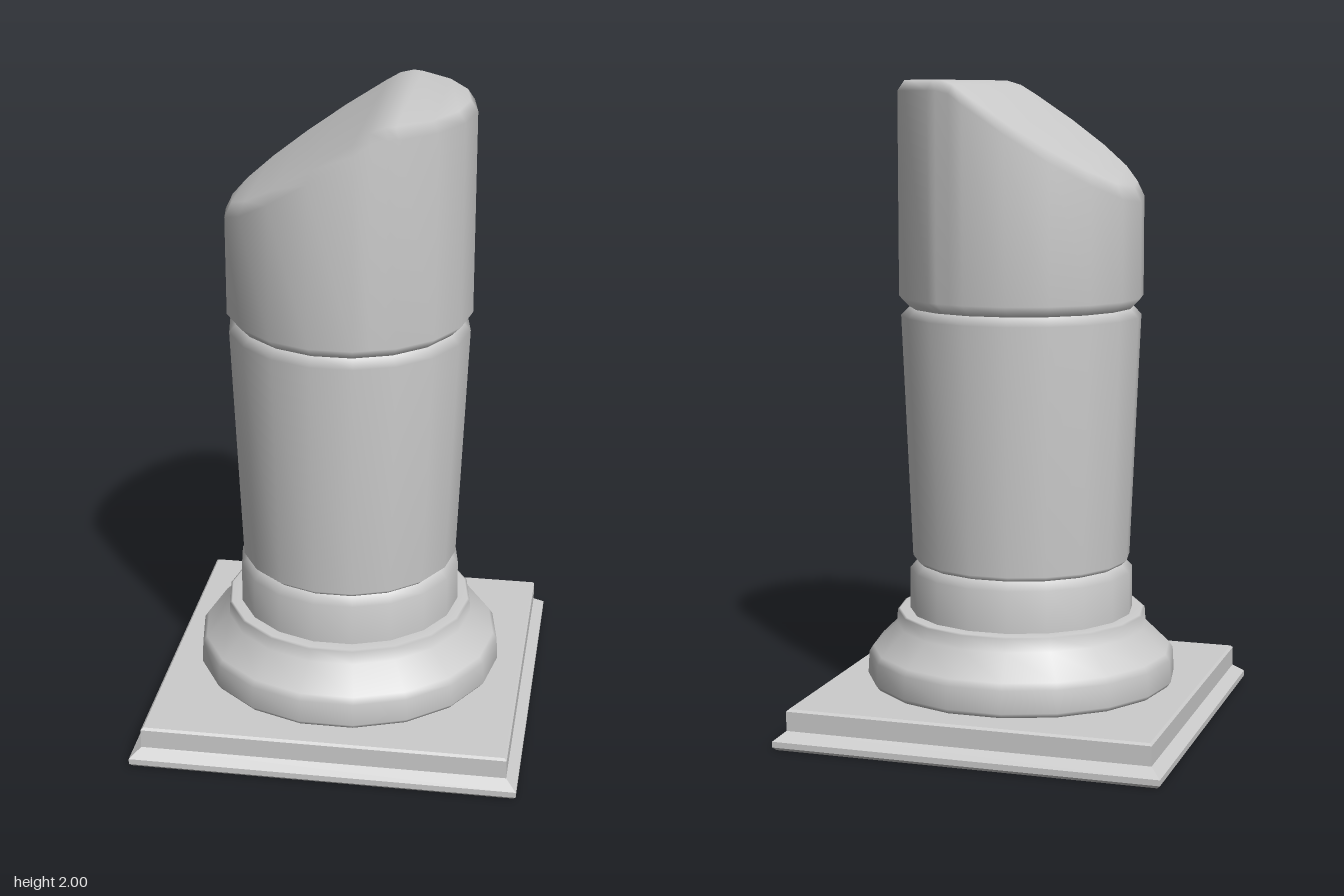
import * as THREE from 'three';

const SIDES = 18;

export function createModel() {
  const model = new THREE.Group();
  const stone = new THREE.MeshStandardMaterial({ color: 0xcccccc });
  stone.name = 'pale stone';

  const add = (name, geometry) => {
    const mesh = new THREE.Mesh(geometry, stone);
    mesh.name = name;
    model.add(mesh);
  };
  const lathe = (profile, sides, start) => new THREE.LatheGeometry(
    profile.map(([r, y]) => new THREE.Vector2(r, y)), sides, start);

  // Square plinth: a four-sided lathe with flat faces
  const k = Math.SQRT2;
  const plinth = lathe([
    [0, 0], [0.59 * k, 0], [0.6 * k, 0.01], [0.6 * k, 0.028], [0.567 * k, 0.055],
    [0.567 * k, 0.115], [0.56 * k, 0.122], [0, 0.122],
  ], 4, Math.PI / 4).toNonIndexed();
  plinth.computeVertexNormals();
  add('plinth', plinth);

  // Round moulded foot
  add('foot', lathe([
    [0.3, 0.121], [0.475, 0.125], [0.487, 0.14], [0.483, 0.21], [0.47, 0.23],
    [0.395, 0.303], [0.392, 0.345], [0.385, 0.349], [0.352, 0.35],
  ], SIDES, Math.PI / 2));

  // Neck ring above the foot
  add('neck', lathe([
    [0.352, 0.348], [0.351, 0.48], [0.325, 0.505],
  ], SIDES, Math.PI / 2));

  // Tapered shaft between two grooves
  add('shaft', lathe([
    [0.325, 0.505], [0.342, 0.52], [0.374, 1.28], [0.348, 1.307],
  ], SIDES, Math.PI / 2));

  add('brokenDrum', brokenDrum());
  return model;
}

// Upper drum with a sloping break: stacked rings closed by strips across z
function brokenDrum() {
  const corners = [];
  for (let i = 0; i <= SIDES / 2; i++) {
    const a = Math.PI - (i * 2 * Math.PI) / SIDES;
    corners.push([Math.cos(a), Math.sin(a)]);
  }
  // extra columns where the slope meets the level top
  const half = [...corners];
  for (const x of [0.3, 0.42]) {
    const j = corners.findIndex((c) => c[0] > x);
    const [x0, z0] = corners[j - 1], [x1, z1] = corners[j];
    half.push([x, z0 + ((z1 - z0) * (x - x0)) / (x1 - x0)]);
  }
  half.sort((p, q) => p[0] - q[0]);
  const n = half.length;
  const loop = [...half, ...half.slice(1, -1).reverse().map(([x, z]) => [x, -z])];
  const N = loop.length;

  const breakHeight = (x) => Math.min(2, 1.915 + 0.66 * x);
  const rings = [
    [0.348, () => 1.307],
    [0.38, () => 1.34],
    [0.38, (x) => breakHeight(x) - 0.032],
    [0.358, breakHeight],
  ];
  const positions = [], index = [];
  for (const [r, height] of rings) {
    for (const [x, z] of loop) positions.push(x * r, height(x * r), z * r);
  }
  const quad = (a, b, c, d) => index.push(a, b, d, b, c, d);
  for (let j = 0; j < rings.length - 1; j++) {
    for (let i = 0; i < N; i++) {
      const a = j * N + i, b = j * N + ((i + 1) % N);
      quad(a, b, b + N, a + N);
    }
  }
  // broken top surface
  const top = (rings.length - 1) * N;
  const back = (i) => top + ((N - i) % N);
  for (let i = 0; i < n - 1; i++) quad(top + i, top + i + 1, back(i + 1), back(i));

  const geometry = new THREE.BufferGeometry();
  geometry.setAttribute('position', new THREE.Float32BufferAttribute(positions, 3));
  geometry.setIndex(index);
  geometry.computeVertexNormals();
  return geometry;
}
